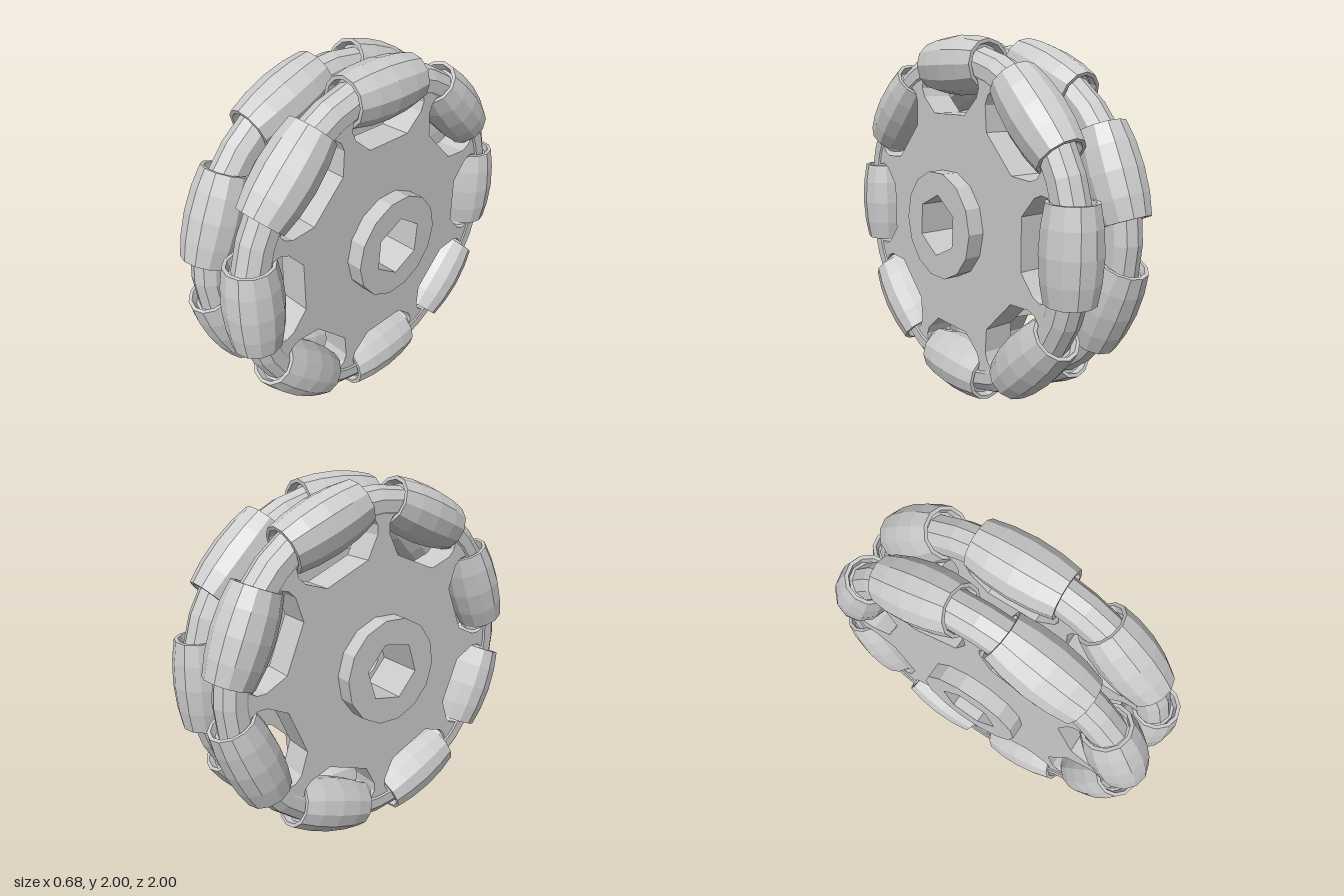
import * as THREE from 'three';

const mat = new THREE.MeshStandardMaterial({ color: 0xcccccc, flatShading: true });
const COUNT = 8, STEP = (Math.PI * 2) / COUNT;

function mesh(name, geometry, z = 0) {
  const m = new THREE.Mesh(geometry, mat);
  m.name = name;
  m.position.z = z;
  return m;
}

function polygon(radius, sides, turn = 0) {
  return Array.from({ length: sides }, (_, i) => {
    const a = turn + (i / sides) * Math.PI * 2;
    return new THREE.Vector2(radius * Math.cos(a), radius * Math.sin(a));
  });
}

// Flat plate with one central hole, from z0 to z1
function plate(name, outline, hole, z0, z1) {
  const shape = new THREE.Shape(outline);
  shape.holes.push(new THREE.Path(hole));
  return mesh(name, new THREE.ExtrudeGeometry(shape, { depth: z1 - z0, bevelEnabled: false }), z0);
}

// Octagonal disc with tapered spokes that flare where they meet the ring
function spiderOutline() {
  const spoke = [[0.60, -0.1], [0.72, -0.04], [0.77, -0.04], [0.82, -0.07],
    [0.82, 0.07], [0.77, 0.04], [0.72, 0.04], [0.60, 0.1]];
  const points = [];
  for (let i = 0; i < COUNT; i++) {
    const a = (i + 0.5) * STEP;
    for (const [r, t] of spoke) {
      points.push(new THREE.Vector2(r * Math.cos(a) - t * Math.sin(a), r * Math.sin(a) + t * Math.cos(a)));
    }
  }
  return points;
}

// Barrel roller with a recess at each end for the ring
function rollerGeometry() {
  const half = [[0.04, -0.2], [0.102, -0.2], [0.11, -0.238], [0.129, -0.238], [0.148, -0.13]];
  const profile = [...half, [0.156, 0], ...half.map(([r, y]) => [r, -y]).reverse()];
  return new THREE.LatheGeometry(profile.map(([r, y]) => new THREE.Vector2(r, y)), 12);
}

// One wheel around the z axis, its outer face towards +z
function wheel(name) {
  const g = new THREE.Group();
  g.name = name;
  g.add(plate('spokedDisc', spiderOutline(), polygon(0.22, 12), 0.08, 0.25));
  g.add(plate('hub', polygon(0.295, 14), polygon(0.17, 6, Math.PI / 2 - 0.08), 0.08, 0.34));
  g.add(plate('hubBackPlate', polygon(0.29, 14), polygon(0.125, 16), 0.02, 0.08));
  g.add(mesh('ring', new THREE.TorusGeometry(0.86, 0.097, 10, 32), 0.165));

  const roller = rollerGeometry();
  for (let i = 0; i < COUNT; i++) {
    const a = i * STEP;
    const m = mesh('roller', roller);
    m.position.set(0.845 * Math.cos(a), 0.845 * Math.sin(a), 0.167);
    m.rotation.z = a;
    g.add(m);
  }
  return g;
}

export function createModel() {
  const model = new THREE.Group();
  model.name = 'doubleRollerWheel';
  // Two wheels back to back, staggered by half a roller
  for (const side of [1, -1]) {
    const w = wheel(side > 0 ? 'leftWheel' : 'rightWheel');
    w.rotation.z = side > 0 ? 0 : STEP / 2;
    const mount = new THREE.Group();
    mount.name = side > 0 ? 'leftMount' : 'rightMount';
    mount.rotation.y = (side * Math.PI) / 2;
    mount.position.y = 1;
    mount.add(w);
    model.add(mount);
  }
  return model;
}
